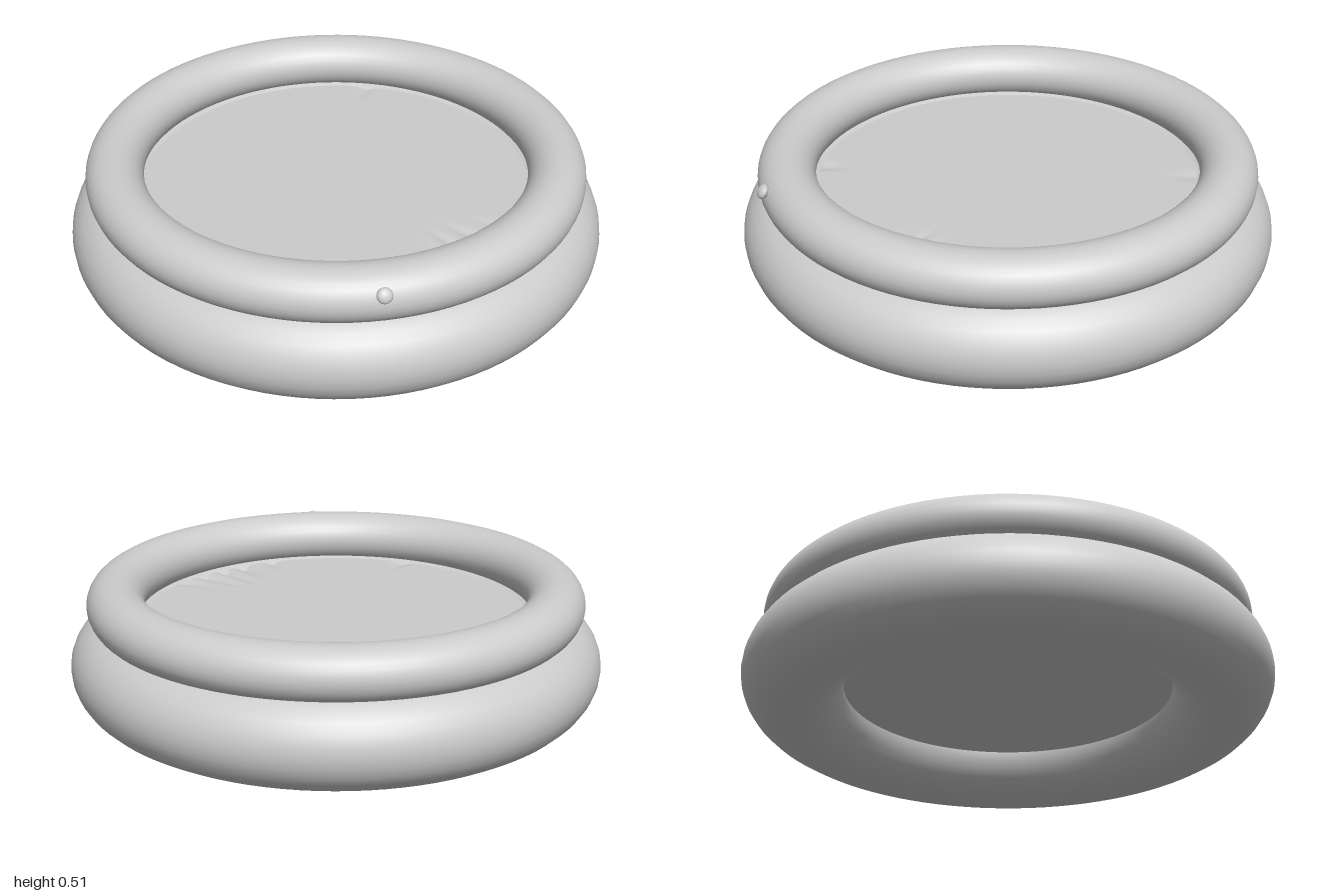
import * as THREE from 'three';

const vinyl = new THREE.MeshStandardMaterial({ color: 0xcccccc });
vinyl.name = 'light grey vinyl';

export function createModel() {
  const model = new THREE.Group();
  model.name = 'inflatablePool';

  const add = (name, geometry, parent = model) => {
    const mesh = new THREE.Mesh(geometry, vinyl);
    mesh.name = name;
    parent.add(mesh);
    return mesh;
  };

  // Air-filled rings with a slightly flattened round section
  const ring = (name, radius, halfWidth, halfHeight, y) => {
    const g = new THREE.TorusGeometry(radius, halfWidth, 28, 96);
    g.scale(1, 1, halfHeight / halfWidth);
    g.rotateX(Math.PI / 2);
    add(name, g).position.y = y;
  };
  ring('lowerRing', 0.808, 0.19, 0.177, 0.177);
  ring('upperRing', 0.823, 0.107, 0.1, 0.411);

  // Upper floor sheet, with shallow pleats running in from the rim:
  // [angle, angular width, inner radius, height]
  const pleats = [
    [0.66, 0.035, 0.46, 0.016], [0.80, 0.03, 0.42, 0.018], [0.93, 0.035, 0.5, 0.016],
    [0.50, 0.03, 0.54, 0.01], [1.12, 0.03, 0.56, 0.01], [1.9, 0.035, 0.6, 0.01],
    [-1.4, 0.04, 0.58, 0.007],
  ];
  const sheet = new THREE.RingGeometry(0.001, 0.76, 288, 24);
  sheet.rotateX(-Math.PI / 2);
  const p = sheet.attributes.position;
  for (let i = 0; i < p.count; i++) {
    const x = p.getX(i), z = p.getZ(i);
    const r = Math.hypot(x, z), a = Math.atan2(z, x);
    let y = 0;
    for (const [angle, width, inner, height] of pleats) {
      const t = THREE.MathUtils.smoothstep(r, inner, 0.72);
      y -= height * t * Math.exp(-(((a - angle) / width) ** 2));
    }
    p.setY(i, y);
  }
  sheet.computeVertexNormals();
  add('upperFloor', sheet).position.y = 0.337;

  // Underside sheet, joined to the inside of the lower ring
  const base = new THREE.CircleGeometry(0.66, 96);
  base.rotateX(Math.PI / 2);
  add('underside', base).position.y = 0.165;

  // Air valve: flared stem and rounded cap, leaning out from the upper ring
  const valve = new THREE.Group();
  valve.name = 'airValve';
  const profile = [[0.034, -0.02], [0.022, 0], [0.016, 0.01], [0.018, 0.016], [0.027, 0.022],
    [0.028, 0.03], [0.023, 0.038], [0.012, 0.043], [0, 0.044]];
  add('valveStem', new THREE.LatheGeometry(profile.map(([x, y]) => new THREE.Vector2(x, y)), 20), valve);
  const around = 0.178;
  const out = new THREE.Vector3(Math.sin(around) * 0.85, 0.52, Math.cos(around) * 0.85).normalize();
  valve.quaternion.setFromUnitVectors(new THREE.Vector3(0, 1, 0), out);
  valve.position.set(Math.sin(around) * 0.908, 0.452, Math.cos(around) * 0.908);
  model.add(valve);

  return model;
}
